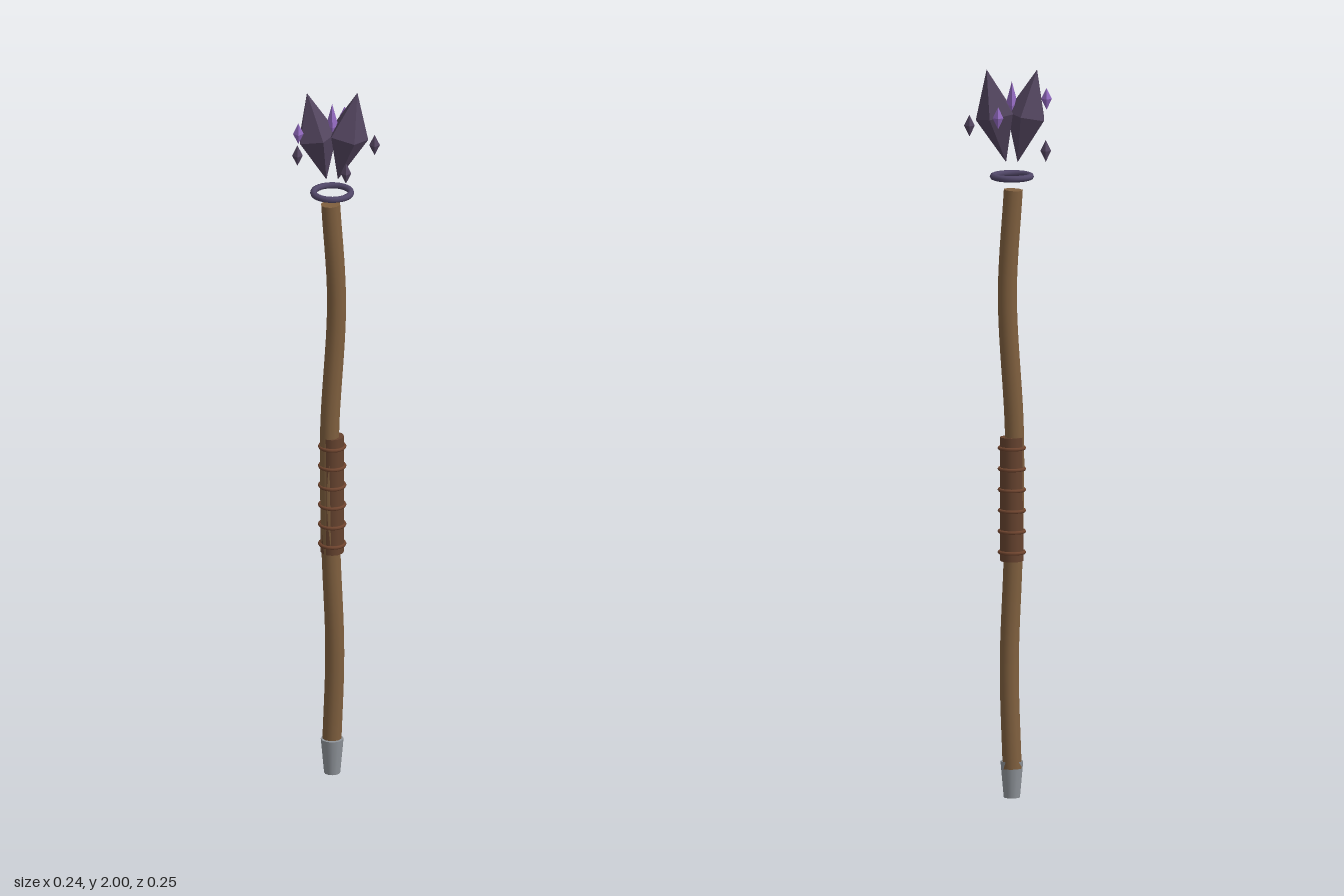
import * as THREE from 'three';

const AXIS_X = -0.012;

function mat(color, flatShading = false) {
  return new THREE.MeshStandardMaterial({ color, flatShading });
}

const wood = mat(0x80603f);
const leather = mat(0x66432f);
const cord = mat(0x70452f);
const metal = mat(0x8f949a);
const ringMat = mat(0x514768);
const crystalMat = mat(0x53455f, true);
const glowMat = mat(0x9068bd, true);

function add(parent, name, geometry, material, x = 0, y = 0, z = 0) {
  const mesh = new THREE.Mesh(geometry, material);
  mesh.name = name;
  mesh.position.set(x, y, z);
  parent.add(mesh);
  return mesh;
}

// Double pyramid with its first side corner pointing to +x
function bipyramid(radius, halfHeight, sides) {
  const geometry = new THREE.SphereGeometry(1, sides, 2);
  return geometry.scale(radius, halfHeight, radius);
}

export function createModel() {
  const staff = new THREE.Group();
  staff.name = 'staff';

  // Gently crooked wooden shaft with closed ends
  const path = new THREE.CatmullRomCurve3([
    [-0.013, 0.08, -0.006], [-0.005, 0.36, 0.002], [-0.016, 0.68, 0.004],
    [-0.019, 1.0, 0.002], [0, 1.38, -0.005], [-0.016, 1.67, -0.005],
  ].map((p) => new THREE.Vector3(...p)));
  const shaftRadius = 0.027;
  add(staff, 'shaft', new THREE.TubeGeometry(path, 40, shaftRadius, 10), wood);
  for (const t of [0, 1]) {
    const p = path.getPoint(t);
    const cap = add(staff, t ? 'shaftTop' : 'shaftBottom',
      new THREE.CircleGeometry(shaftRadius, 10), wood, p.x, p.y, p.z);
    cap.lookAt(p.clone().addScaledVector(path.getTangent(t), t ? 1 : -1));
  }

  // Metal foot
  add(staff, 'ferrule', new THREE.CylinderGeometry(0.031, 0.022, 0.1, 12), metal, AXIS_X, 0.05, 0);

  // Leather grip with raised cords
  const grip = new THREE.Group();
  grip.name = 'grip';
  staff.add(grip);
  add(grip, 'wrap', new THREE.CylinderGeometry(0.032, 0.032, 0.34, 12), leather, AXIS_X, 0.82, 0);
  for (let i = 0; i < 6; i++) {
    const band = add(grip, 'cord', new THREE.TorusGeometry(0.034, 0.005, 6, 20), cord,
      AXIS_X, 0.674 + i * 0.0572, 0);
    band.rotation.x = Math.PI / 2;
  }

  // Floating ring above the shaft
  const ring = add(staff, 'floatingRing', new THREE.TorusGeometry(0.051, 0.009, 8, 28), ringMat,
    AXIS_X, 1.706, 0);
  ring.rotation.x = Math.PI / 2;

  // Two large crystals leaning apart around a small bright core
  for (const side of [-1, 1]) {
    const crystal = add(staff, side < 0 ? 'rightCrystal' : 'leftCrystal',
      bipyramid(0.057, 0.13, 5), crystalMat, AXIS_X + side * 0.042, 1.872, 0);
    crystal.rotation.z = -side * 0.205;
    // Rotate the five-sided outline so that a corner faces +x
    crystal.geometry.rotateY(Math.PI);
  }
  add(staff, 'core', bipyramid(0.017, 0.065, 4), glowMat, AXIS_X, 1.902, 0);

  // Five small shards circling the crystals
  const heights = [1.845, 1.883, 1.787, 1.908, 1.808];
  heights.forEach((y, i) => {
    const a = (i * Math.PI * 2) / 5;
    add(staff, 'orbitingShard', bipyramid(0.0145, 0.03, 4), i % 2 ? glowMat : crystalMat,
      AXIS_X + 0.115 * Math.cos(a), y, -0.115 * Math.sin(a));
  });
  return staff;
}
